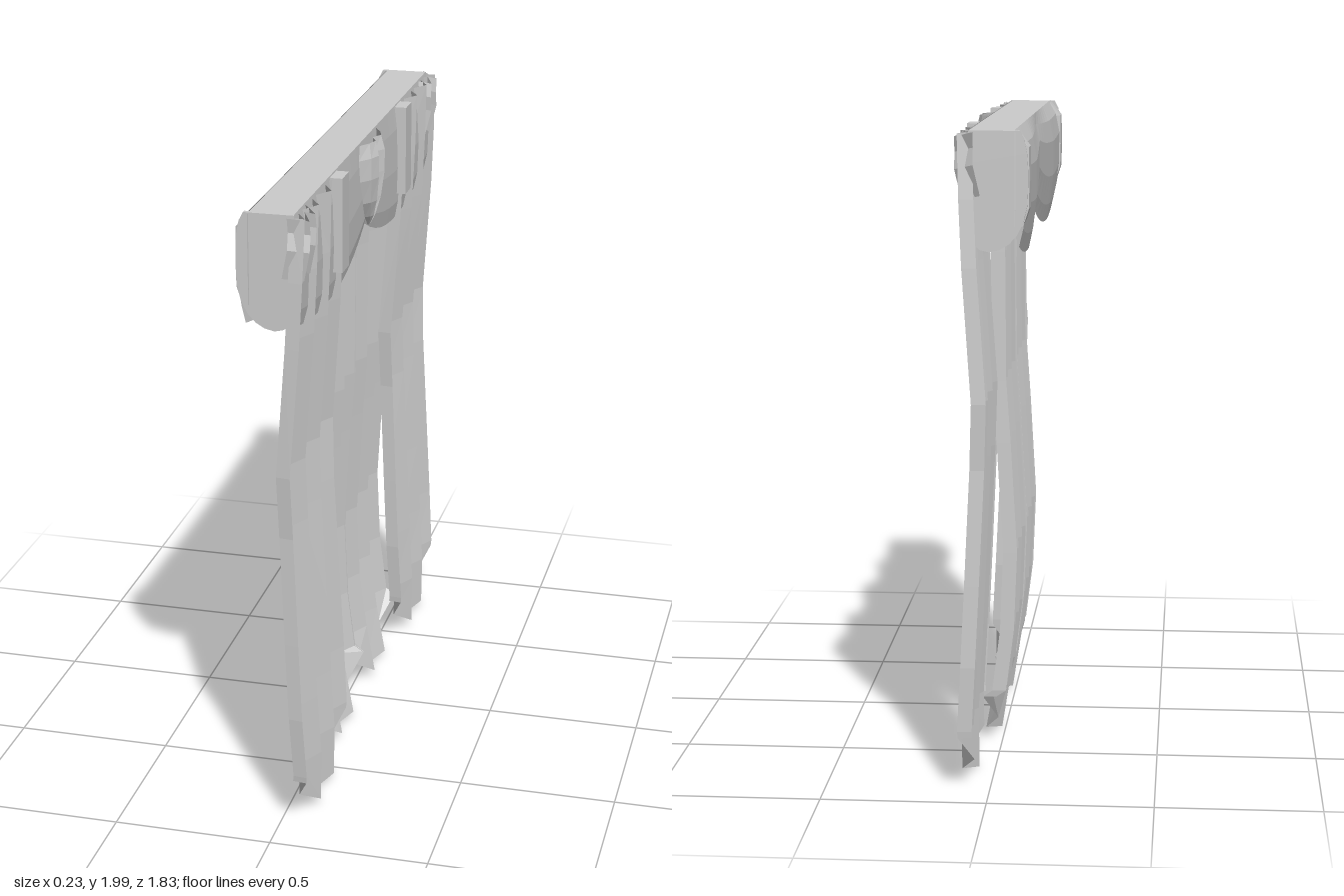
import * as THREE from 'three';

const material = new THREE.MeshStandardMaterial({ color: 0xcccccc, flatShading: true, side: THREE.DoubleSide });

function add(parent, name, geometry) {
  const mesh = new THREE.Mesh(geometry, material);
  mesh.name = name;
  parent.add(mesh);
  return mesh;
}

function box(parent, name, x0, x1, y0, y1, z0, z1) {
  const mesh = add(parent, name, new THREE.BoxGeometry(x1 - x0, y1 - y0, z1 - z0));
  mesh.position.set((x0 + x1) / 2, (y0 + y1) / 2, (z0 + z1) / 2);
  return mesh;
}

// Faceted sheet from a grid of points: at(row, column) gives [x, y, z]
function sheet(rows, cols, at) {
  const pos = [], index = [];
  for (let r = 0; r < rows; r++) for (let c = 0; c < cols; c++) pos.push(...at(r, c));
  for (let r = 0; r < rows - 1; r++) {
    for (let c = 0; c < cols - 1; c++) {
      const a = r * cols + c, b = a + cols;
      index.push(a, b, a + 1, b, b + 1, a + 1);
    }
  }
  const g = new THREE.BufferGeometry();
  g.setAttribute('position', new THREE.Float32BufferAttribute(pos, 3));
  g.setIndex(index);
  const flat = g.toNonIndexed();
  flat.computeVertexNormals();
  return flat;
}

// Pleats across one curtain: [offset across, depth, height of the hem]
const PLEATS = [
  [-0.98, -1, 0.18], [-1, 0.9, 0.18], [-0.69, -1, 0.09], [-0.33, 1, 0.03], [0, -1, 0.01],
  [0.33, 1, 0.03], [0.69, -1, 0.09], [1, 0.9, 0.18], [0.98, -1, 0.18],
];
// Hang of the curtains: [height, outer x, inner x, width factor]
const HANG = [
  [1.99, 0.072, 0.02, 0.88], [1.8, 0.067, 0.015, 0.94], [1.6, 0.058, 0.007, 0.98],
  [1.2, 0.03, 0.004, 1.02], [1.0, 0.036, -0.01, 0.98], [0.65, 0.052, -0.03, 1.02],
  [0.4, 0.064, -0.02, 1.04], [0.2, 0.075, 0.005, 1.01], [0, 0.073, 0.035, 1],
];

function curtain(outer, side) {
  const centre = outer ? 0.655 : 0.233, half = outer ? 0.252 : 0.235;
  return sheet(HANG.length, PLEATS.length, (r, c) => {
    const [y, xo, xi, w] = HANG[r];
    const [u, d, hem] = PLEATS[c];
    const last = r === HANG.length - 1;
    const spread = outer ? w : 1;
    return [(outer ? xo : xi) + d * 0.023, last ? hem : y, side * (centre + u * half * spread)];
  });
}

// Scalloped lower edge of the valance, two swags meeting at the middle
function hemHeight(z) {
  const u = Math.abs(z) / 0.87;
  return 1.612 + (u < 0.5 ? 0.1 : 0.05) * Math.pow(Math.abs(2 * u - 1), 2.2);
}

function valance(profile, pinch) {
  const cols = 25;
  return sheet(profile.length, cols, (r, c) => {
    const z = -0.87 + 1.74 * c / (cols - 1);
    const [x, t] = profile[r];
    const middle = Math.max(0, 1 - Math.abs(z) / 0.45);
    const inset = r ? pinch * middle : 0;
    return [x + inset, 2 - t * (2 - hemHeight(z)), z];
  });
}

export function createModel() {
  const model = new THREE.Group();
  model.name = 'curtains';

  // Pelmet board
  box(model, 'pelmetBoard', -0.075, 0.06, 1.965, 1.998, -0.865, 0.865);

  // Valance on both faces
  add(model, 'valanceBack', valance([[-0.075, 0], [-0.1, 0.12], [-0.113, 0.3], [-0.112, 0.6], [-0.1, 0.85], [-0.088, 1]], 0.02));
  add(model, 'valanceFace', valance([[0.06, 0], [0.07, 0.2], [0.074, 0.55], [0.07, 0.85], [0.06, 1]], -0.006));

  // Rounded flap for the ends of the pelmet
  const flap = new THREE.Shape();
  flap.moveTo(-0.09, 1.998);
  flap.bezierCurveTo(-0.118, 1.97, -0.117, 1.86, -0.112, 1.78);
  flap.bezierCurveTo(-0.1, 1.69, -0.05, 1.648, 0, 1.645);
  flap.bezierCurveTo(0.05, 1.648, 0.07, 1.69, 0.072, 1.78);
  flap.lineTo(0.075, 1.9);
  flap.lineTo(0.06, 1.998);
  const flapGeometry = new THREE.ExtrudeGeometry(flap, { depth: 0.014, bevelEnabled: false, curveSegments: 5 });

  for (const side of [1, -1]) {
    const prefix = side > 0 ? 'left' : 'right';
    add(model, prefix + 'OuterCurtain', curtain(true, side));
    add(model, prefix + 'InnerCurtain', curtain(false, side));
    add(model, prefix + 'EndFlap', flapGeometry).position.z = side > 0 ? 0.862 : -0.876;

    // Folded strap wrapped around the back corner
    add(model, prefix + 'Strap', sheet(5, 4, (r, c) => {
      const y = [1.995, 1.95, 1.85, 1.77, 1.72][r];
      const x = [-0.08, -0.116, -0.118, -0.116, -0.1][r];
      return [c === 0 || c === 3 ? -0.075 : x, y, side * [0.775, 0.78, 0.865, 0.877][c]];
    }));

    // Gathered heading at the outer corner of the curtain
    add(model, prefix + 'Gather', sheet(4, 5, (r, c) => {
      const x = [0.06, 0.1, 0.078, 0.102, 0.045][c] - (r === 3 ? 0.02 : 0);
      const y = [1.995, 1.95, 1.9, 1.81][r] - (c % 2) * 0.015;
      return [x, y, side * (0.75 + 0.037 * c - (r % 2) * 0.012)];
    }));

    // Flat heading fold on the inner edge
    const fold = box(model, prefix + 'HeadingFold', 0.06, 0.1, 1.7, 1.995, side * 0.43 - 0.045, side * 0.43 + 0.045);
    fold.scale.z = 0.9;
  }

  // Shield-shaped gathered knot over the middle of the valance
  const ridge = [0.065, 0.095, 0.11, 0.085, 0.11, 0.095, 0.065];
  const levels = [[1.997, 0.11], [1.95, 0.122], [1.88, 0.117], [1.8, 0.085], [1.745, 0.04], [1.71, 0.004]];
  add(model, 'centreKnot', sheet(levels.length, 7, (r, c) => {
    const [y, half] = levels[r];
    const swell = [0.75, 1, 1, 0.8, 0.5, 0.15][r];
    return [0.065 + (ridge[c] - 0.065) * swell, y, half * (1 - c / 3)];
  }));

  return model;
}
